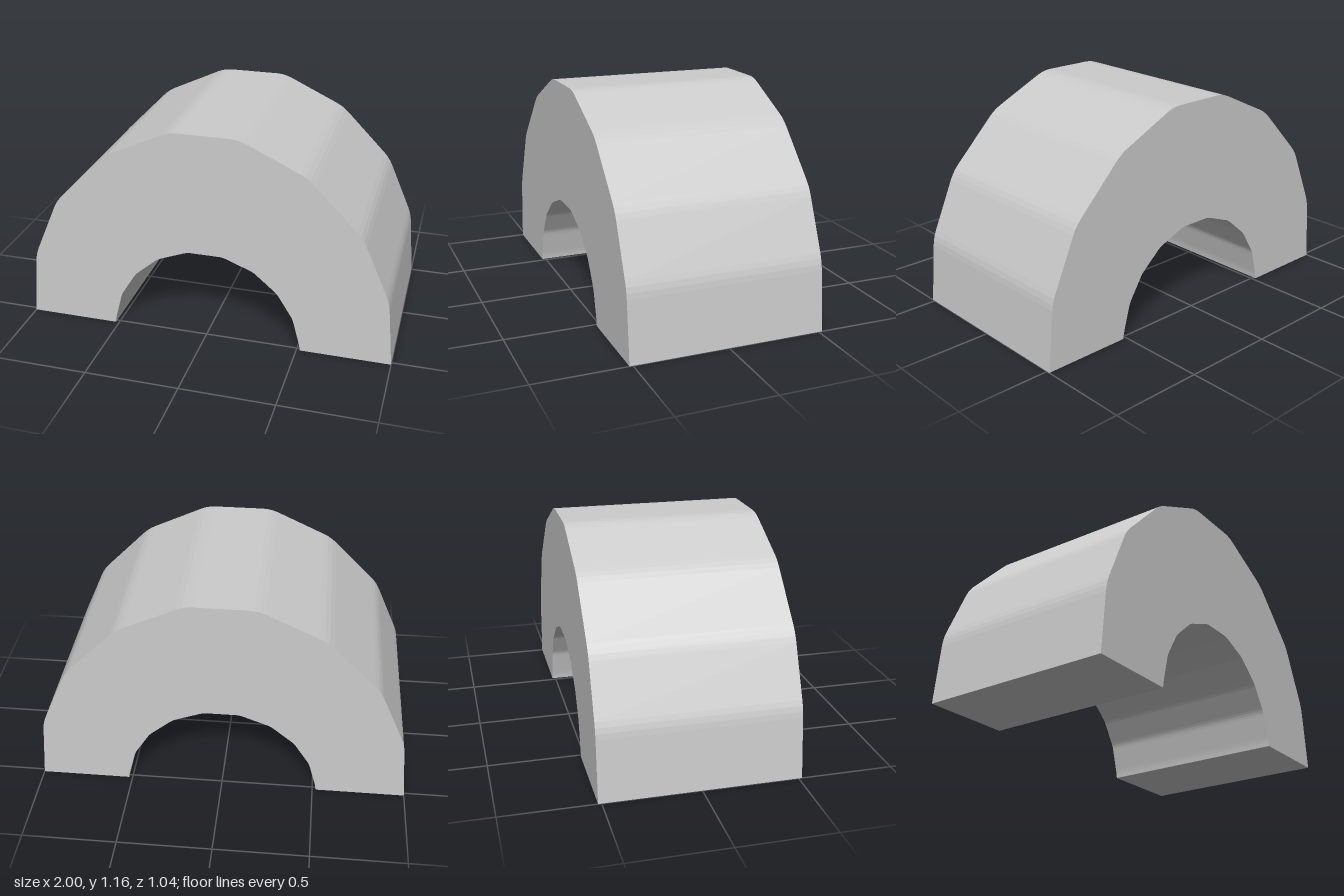
import * as THREE from 'three';

// Mirror a right-hand half profile into a full run from +x to -x
const mirrored = (half) => [...half, ...half.slice().reverse().map(([x, y]) => [-x, y])];

// Replace each inner corner of a run with a small three-step curve; ends stay sharp
function softenCorners(run, cut) {
  const pts = run.map(([x, y]) => new THREE.Vector2(x, y));
  const out = [pts[0]];
  for (let i = 1; i < pts.length - 1; i++) {
    const toward = (q) => q.clone().sub(pts[i]).setLength(cut).add(pts[i]);
    const curve = new THREE.QuadraticBezierCurve(toward(pts[i - 1]), pts[i], toward(pts[i + 1]));
    out.push(...curve.getPoints(3));
  }
  out.push(pts[pts.length - 1]);
  return out;
}

export function createModel() {
  const group = new THREE.Group();
  group.name = 'archBlock';

  // Outer and inner faceted arcs of the half ring
  const outer = softenCorners(mirrored([[1, 0], [0.966, 0.365], [0.816, 0.708], [0.53, 1.0], [0.18, 1.165]]), 0.045);
  const inner = softenCorners(mirrored([[0.519, 0], [0.515, 0.03], [0.474, 0.187], [0.388, 0.326], [0.26, 0.436], [0.095, 0.5]]), 0.02);

  // Half ring pushed through along z
  const depth = 1.036;
  const shape = new THREE.Shape([...outer, ...inner.reverse()]);
  const geometry = new THREE.ExtrudeGeometry(shape, { depth, bevelEnabled: false });
  geometry.translate(0, 0, -depth / 2);

  const arch = new THREE.Mesh(geometry, new THREE.MeshStandardMaterial({ color: 0xcccccc, flatShading: true }));
  arch.name = 'arch';
  group.add(arch);
  return group;
}
